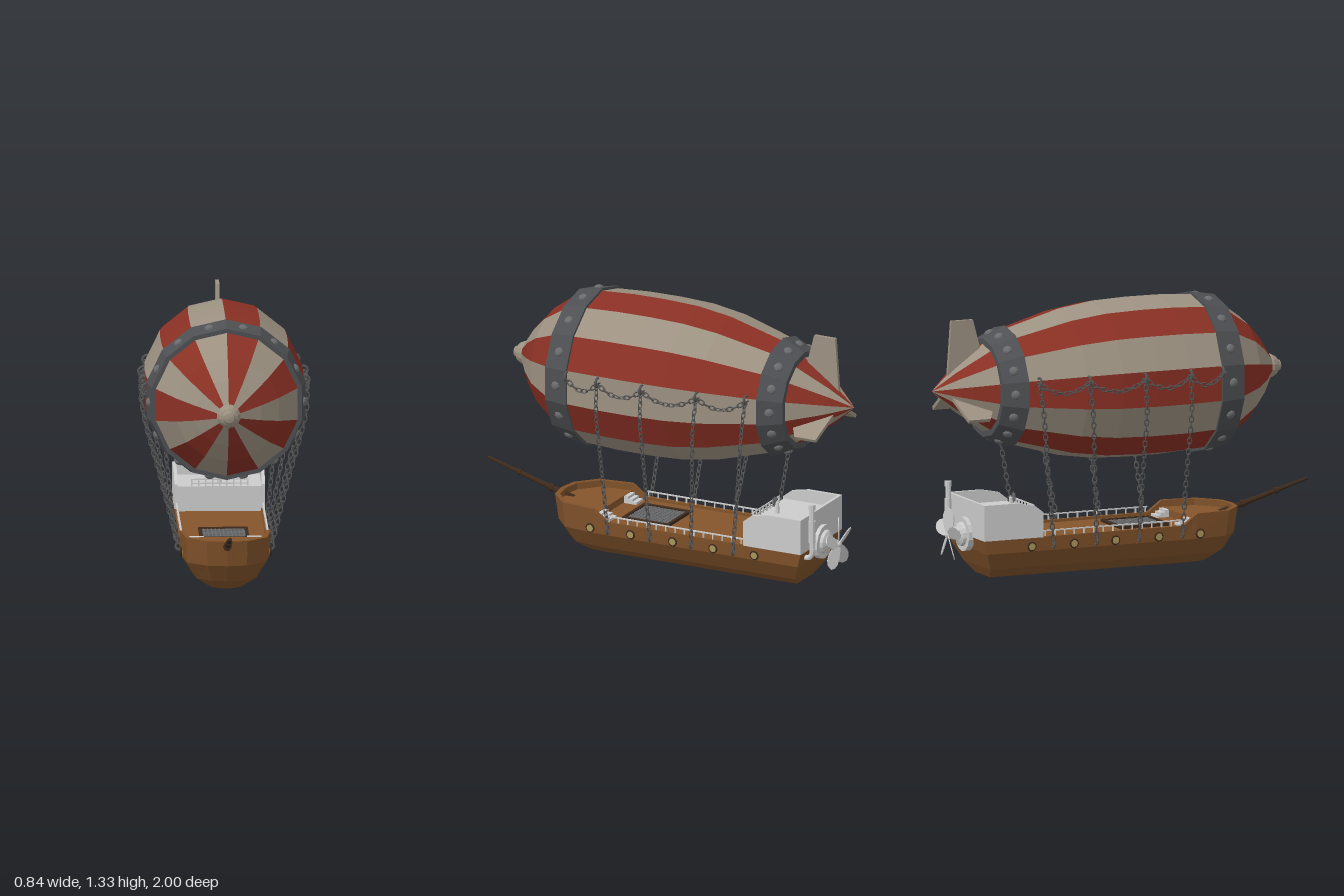
import * as THREE from 'three';
import { mergeGeometries } from 'three/addons/utils/BufferGeometryUtils.js';

const mat = (color) => new THREE.MeshStandardMaterial({ color, flatShading: true, side: THREE.DoubleSide });
const V = (x, y, z) => new THREE.Vector3(x, y, z);
const SIDES = 14, STEP = Math.PI * 2 / SIDES, AXIS = 0.94;

// envelope profile: [radius, z], tail to nose
const PROFILE = [[0, -1], [0.025, -0.975], [0.1, -0.89], [0.215, -0.73], [0.282, -0.61], [0.36, -0.33], [0.387, -0.15],
  [0.394, 0.03], [0.393, 0.2], [0.383, 0.375], [0.353, 0.5], [0.255, 0.635], [0.165, 0.715], [0.07, 0.78], [0.04, 0.8]];
function radiusAt(z) {
  const i = Math.max(1, PROFILE.findIndex((p) => p[1] >= z));
  const [r0, z0] = PROFILE[i - 1], [r1, z1] = PROFILE[i];
  return r0 + (r1 - r0) * (z - z0) / (z1 - z0);
}
// surface of revolution along z
const latheZ = (pts, seg, start = 0, len = Math.PI * 2) =>
  new THREE.LatheGeometry(pts.map((p) => new THREE.Vector2(...p)), seg, start, len).rotateX(Math.PI / 2);

export function createModel() {
  const root = new THREE.Group();
  const M = {
    red: mat(0x8a3024), cloth: mat(0x9c9181), iron: mat(0x4d4f52), stud: mat(0x6a6b6c), chain: mat(0x555555),
    wood: mat(0x80522a), deck: mat(0x85552c), dark: mat(0x3d2a1c), brass: mat(0xa8955a), grey: mat(0xcccccc),
  };
  const add = (name, geo, m, x = 0, y = 0, z = 0, parent = root) => {
    const mesh = new THREE.Mesh(geo, m);
    mesh.name = name;
    mesh.position.set(x, y, z);
    parent.add(mesh);
    return mesh;
  };
  const box = (name, w, h, d, m, x, y, z) => add(name, new THREE.BoxGeometry(w, h, d), m, x, y, z);
  const rod = (name, a, b, r0, r1, m, seg = 8) => {
    const d = b.clone().sub(a), c = a.clone().add(b).multiplyScalar(0.5);
    const mesh = add(name, new THREE.CylinderGeometry(r1, r0, d.length(), seg), m, c.x, c.y, c.z);
    mesh.quaternion.setFromUnitVectors(V(0, 1, 0), d.normalize());
    return mesh;
  };

  // striped envelope, one gore per side
  for (const odd of [0, 1]) {
    const gores = [];
    for (let i = odd; i < SIDES; i += 2) gores.push(latheZ(PROFILE, 1, Math.PI - (i + 1) * STEP, STEP));
    add(odd ? 'paleGores' : 'redGores', mergeGeometries(gores), odd ? M.cloth : M.red, 0, AXIS, 0);
  }
  add('noseCap', latheZ([[0.03, 0.775], [0.058, 0.785], [0.058, 0.8], [0.045, 0.825], [0.03, 0.835], [0.025, 0.848], [0, 0.853]], 14), M.cloth, 0, AXIS, 0);

  // iron bands with studs: [rear z, rear radius, front z, front radius]
  for (const [z0, r0, z1, r1] of [[0.375, 0.396, 0.5, 0.374], [-0.73, 0.243, -0.612, 0.298]]) {
    add('band', latheZ([[r0 - 0.04, z0], [r0, z0], [r1, z1], [r1 - 0.03, z1]], SIDES), M.iron, 0, AXIS, 0);
    const r = (r0 + r1) / 2 * Math.cos(STEP / 2), studs = [];
    for (let i = 0; i < SIDES; i++) {
      const t = (i + 0.5) * STEP;
      studs.push(new THREE.SphereGeometry(0.024, 8, 6).scale(1, 0.6, 1)
        .rotateX(Math.atan2(r1 - r0, z1 - z0) * -1).translate(0, r, (z0 + z1) / 2).rotateZ(-t));
    }
    add('bandStuds', mergeGeometries(studs), M.stud, 0, AXIS, 0);
  }

  // tail fins: profile in (z, radius)
  for (const [turn, tip] of [[0, 0.34], [1, 0.247], [-1, 0.247]]) {
    const s = new THREE.Shape([[-0.74, 0.17], [-0.785, tip], [-0.9, tip], [-0.92, 0.06]].map((p) => new THREE.Vector2(...p)));
    const g = new THREE.ExtrudeGeometry(s, { depth: 0.018, bevelEnabled: false }).translate(0, 0, -0.009).rotateY(-Math.PI / 2);
    add('tailFin', g, M.cloth, 0, AXIS, 0).rotation.z = -turn * Math.PI * 2 / 3;
  }

  // hull levels, keel to rim then down the inside: [half width, y amidships, y at bow, bow z, stern z]
  const LEVELS = [[0, 0.003, 0.003, 0.37, -0.69], [0.085, 0.02, 0.02, 0.45, -0.73], [0.16, 0.07, 0.07, 0.525, -0.76],
    [0.213, 0.155, 0.155, 0.58, -0.8], [0.22, 0.225, 0.28, 0.6, -0.82], [0.2, 0.225, 0.28, 0.575, -0.8], [0.2, 0.2, 0.2, 0.575, -0.8]];
  const half = ([w, y, yBow, bow, stern]) => [[0, 1], [0.45, 0.94], [0.9, 0.62], [1, 0]]
    .map(([f, t]) => V(w * f, yBow, 0.315 + (bow - 0.315) * t)).concat(V(w, y, 0.24), V(w, y, stern));
  const loop = (h) => h.concat(h.slice(1).reverse().map((p) => V(-p.x, p.y, p.z)));
  const rings = LEVELS.map((l) => loop(half(l))), n = rings[0].length, idx = [];
  for (let i = 0; i < rings.length - 1; i++) for (let j = 0; j < n; j++) {
    const a = i * n + j, b = i * n + (j + 1) % n;
    idx.push(a, b, b + n, a, b + n, a + n);
  }
  const hull = new THREE.BufferGeometry().setFromPoints(rings.flat());
  hull.setIndex(idx);
  hull.computeVertexNormals();
  add('hull', hull, M.wood);

  // decks
  const plan = (pts) => new THREE.Shape(pts.map((p) => new THREE.Vector2(p.x, -p.z)));
  const slab = (pts, depth) => new THREE.ExtrudeGeometry(plan(pts), { depth, bevelEnabled: false }).rotateX(-Math.PI / 2);
  const inner = half(LEVELS[5]);
  add('mainDeck', slab(loop(inner), 0.012), M.deck, 0, 0.2, 0);
  add('foredeck', slab(loop(inner.slice(0, 4)), 0.04), M.deck, 0, 0.207, 0);
  for (const s of [-1, 1]) for (let k = 0; k < 3; k++)
    box('foredeckStep', 0.07, 0.012 * (k + 1), 0.022, M.grey, s * 0.14, 0.212 + 0.006 * (k + 1), 0.255 + k * 0.022);

  // cargo hatch with grating
  for (const s of [-1, 1]) {
    box('hatchFrame', 0.24, 0.016, 0.016, M.dark, 0, 0.218, 0.08 + s * 0.12);
    box('hatchFrame', 0.016, 0.016, 0.24, M.dark, s * 0.112, 0.218, 0.08);
  }
  box('hatchPit', 0.22, 0.003, 0.24, M.dark, 0, 0.2125, 0.08);
  for (let k = -5; k <= 5; k++) {
    box('hatchBar', 0.006, 0.006, 0.23, M.stud, k * 0.019, 0.218, 0.08);
    box('hatchBar', 0.22, 0.006, 0.006, M.stud, 0, 0.218, 0.08 + k * 0.02);
  }

  // side railings, portholes
  for (const s of [-1, 1]) {
    const x = s * 0.21;
    box('sideRail', 0.008, 0.006, 0.74, M.grey, x, 0.252, -0.13);
    for (let k = 0; k <= 14; k++) box('railPost', 0.006, 0.03, 0.006, M.grey, x, 0.238, 0.23 - k * 0.0515);
    for (const z of [0.33, 0.11, -0.12, -0.34, -0.565]) {
      add('portholeRim', new THREE.TorusGeometry(0.02, 0.005, 6, 12).rotateY(Math.PI / 2), M.dark, s * 0.217, 0.18, z);
      add('portholeGlass', new THREE.CylinderGeometry(0.02, 0.02, 0.012, 12).rotateZ(Math.PI / 2), M.brass, s * 0.215, 0.18, z);
    }
  }

  // stern cabin with raised side walls
  box('cabin', 0.42, 0.135, 0.3, M.grey, 0, 0.2675, -0.66);
  const wall = new THREE.Shape([[-0.505, 0.222], [-0.505, 0.345], [-0.55, 0.38], [-0.64, 0.398], [-0.82, 0.398], [-0.82, 0.222]]
    .map((p) => new THREE.Vector2(...p)));
  for (const s of [-1, 1])
    add('cabinSide', new THREE.ExtrudeGeometry(wall, { depth: 0.016, bevelEnabled: false }).translate(0, 0, -0.008).rotateY(-Math.PI / 2), M.grey, s * 0.212, 0, 0);
  box('cabinBack', 0.42, 0.176, 0.016, M.grey, 0, 0.31, -0.812);
  for (const y of [0.348, 0.368]) box('bridgeRail', 0.28, 0.006, 0.006, M.grey, 0, y, -0.52);
  for (let k = -4; k <= 4; k++) box('bridgePost', 0.007, 0.036, 0.007, M.grey, k * 0.034, 0.352, -0.52);

  // steering wheel
  rod('wheelStand', V(0, 0.33, -0.58), V(0, 0.39, -0.58), 0.012, 0.008, M.grey);
  add('wheelRim', new THREE.TorusGeometry(0.018, 0.003, 5, 12), M.stud, 0, 0.39, -0.565);
  for (let k = 0; k < 4; k++) box('wheelSpoke', 0.052, 0.004, 0.004, M.stud, 0, 0.39, -0.565).rotation.z = k * Math.PI / 4;

  // exhaust pipe
  const bend = new THREE.CatmullRomCurve3([V(0.15, 0.19, -0.8), V(0.15, 0.19, -0.83), V(0.15, 0.21, -0.846), V(0.15, 0.3, -0.846), V(0.15, 0.465, -0.846)]);
  add('exhaustPipe', new THREE.TubeGeometry(bend, 20, 0.014, 8), M.grey);
  rod('exhaustSleeve', V(0.15, 0.27, -0.846), V(0.15, 0.38, -0.846), 0.018, 0.018, M.grey);
  rod('exhaustTip', V(0.15, 0.44, -0.846), V(0.15, 0.465, -0.846), 0.018, 0.018, M.grey);

  // propeller
  add('propellerMount', latheZ([[0, -0.93], [0.014, -0.925], [0.02, -0.9], [0.025, -0.87], [0.055, -0.855], [0.06, -0.84], [0.085, -0.84], [0.085, -0.81]], 14), M.grey, 0, 0.228, 0);
  const blade = new THREE.Shape();
  blade.moveTo(-0.008, 0);
  blade.bezierCurveTo(-0.055, 0.06, -0.05, 0.13, 0, 0.135);
  blade.bezierCurveTo(0.04, 0.12, 0.035, 0.06, 0.008, 0);
  for (let k = 0; k < 5; k++) {
    const g = new THREE.ExtrudeGeometry(blade, { depth: 0.005, bevelEnabled: false, curveSegments: 5 })
      .translate(0, 0, -0.0025).rotateY(0.45).rotateZ(k * Math.PI * 2 / 5);
    add('propellerBlade', g, M.grey, 0, 0.228, -0.915);
  }

  // bowsprit
  const foot = V(0, 0.235, 0.53), tip = V(0, 0.372, 0.998), along = (t) => foot.clone().lerp(tip, t);
  rod('bowsprit', foot, tip, 0.017, 0.008, M.dark);
  for (const t of [0.14, 0.24, 0.62]) rod('bowspritCollar', along(t), along(t + 0.035), 0.023 - t * 0.01, 0.023 - t * 0.01, M.dark);

  // chains: links laid along a curve, alternating a quarter turn
  const chain = (name, pts) => {
    const curve = new THREE.CatmullRomCurve3(pts), count = Math.round(curve.getLength() / 0.029), links = [];
    for (let i = 0; i <= count; i++) {
      const p = curve.getPointAt(i / count), q = new THREE.Quaternion().setFromUnitVectors(V(1, 0, 0), curve.getTangentAt(i / count));
      links.push(new THREE.TorusGeometry(0.0105, 0.0032, 4, 8).scale(1.7, 1, 1)
        .rotateX((i % 2) * Math.PI / 2 + 0.4).applyQuaternion(q).translate(p.x, p.y, p.z));
    }
    add(name, mergeGeometries(links), M.chain);
  };
  const tops = [0.375, 0.2, -0.04, -0.325, -0.56], feet = [null, 0.23, 0, -0.225, -0.455];
  for (const s of [-1, 1]) {
    const skin = (z, out = 0.012) => s * (radiusAt(z) * Math.cos(STEP / 2) + out);
    tops.forEach((z, i) => {
      add('envelopeRing', new THREE.TorusGeometry(0.022, 0.006, 6, 12), M.chain, skin(z, 0.008), 1, z);
      if (i > 0) {
        const z0 = tops[i - 1], zm = (z + z0) / 2;
        chain('swagChain', [V(skin(z0), 0.99, z0), V(skin(z0 * 0.75 + z * 0.25), 0.955, z0 * 0.75 + z * 0.25), V(skin(zm), 0.942, zm),
          V(skin(z0 * 0.25 + z * 0.75), 0.955, z0 * 0.25 + z * 0.75), V(skin(z), 0.99, z)]);
        add('hullRing', new THREE.TorusGeometry(0.018, 0.005, 6, 12), M.chain, s * 0.222, 0.185, feet[i]);
        const zk = z + (feet[i] - z) * 0.18;
        chain('hangingChain', [V(skin(z, 0.018), 0.98, z), V(skin(z, 0.014), 0.85, zk),
          V((skin(z, 0.01) + s * 0.23) / 2, 0.52, (zk + feet[i]) / 2), V(s * 0.228, 0.19, feet[i])]);
      }
    });
  }
  return root;
}
